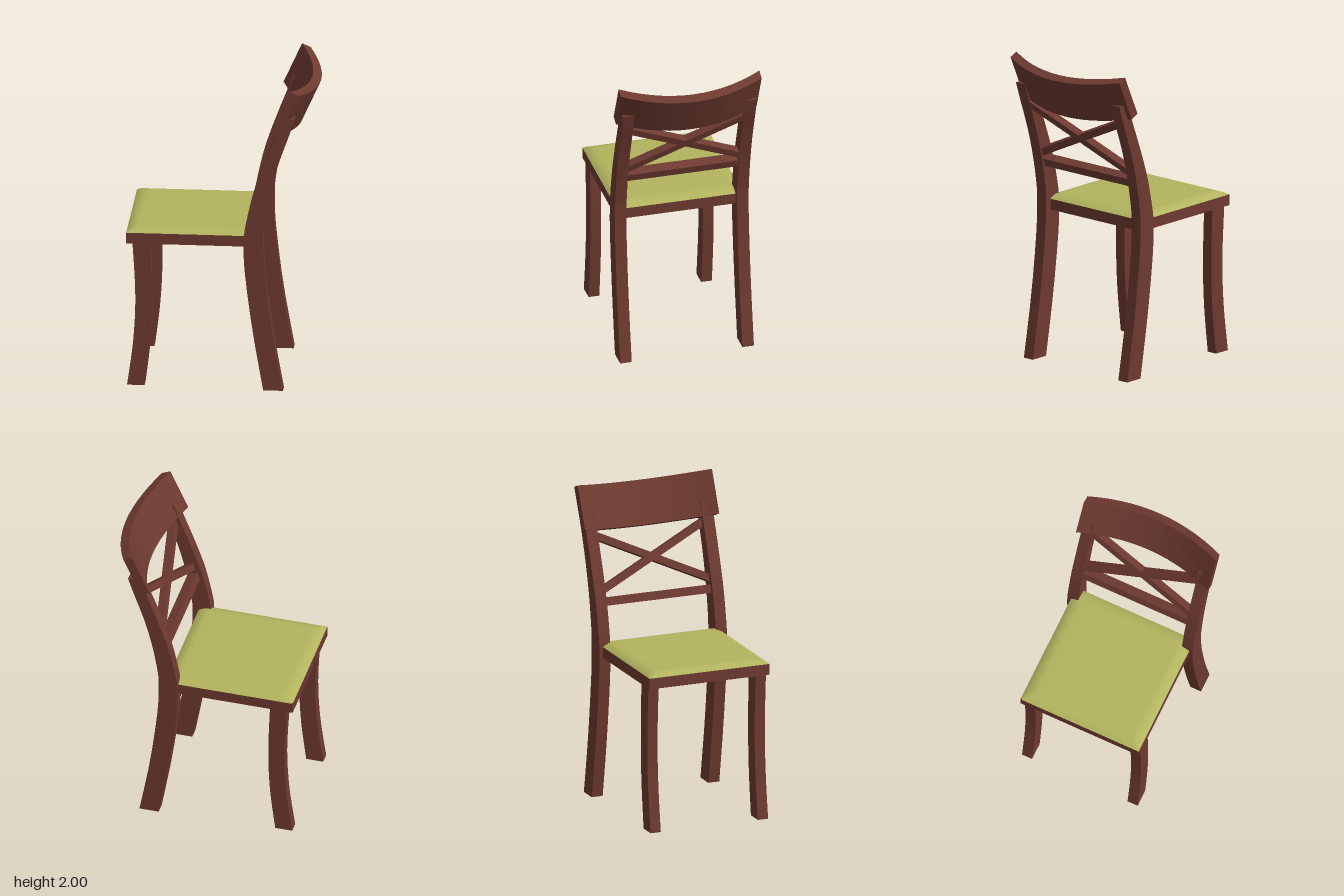
import * as THREE from 'three';

const wood = new THREE.MeshStandardMaterial({ color: 0x6e3a30 });
const fabric = new THREE.MeshStandardMaterial({ color: 0xb2b45e });

function add(parent, name, geometry, material = wood) {
  const mesh = new THREE.Mesh(geometry, material);
  mesh.name = name;
  parent.add(mesh);
  return mesh;
}

// Curved leg cut from a plank: rows are [y, front x, rear x], extruded in z
function legGeometry(rows, thickness) {
  const edge = (i) =>
    new THREE.SplineCurve(rows.map((r) => new THREE.Vector2(r[i], r[0]))).getPoints(20);
  const shape = new THREE.Shape([...edge(2), ...edge(1).reverse()]);
  return new THREE.ExtrudeGeometry(shape, { depth: thickness, bevelEnabled: false })
    .translate(0, 0, -thickness / 2);
}

// Soft pad: a plane whose height depends on the distance to its nearest edge
function cushionGeometry(length, width, height, border) {
  const insets = [0, 0.012, 0.028, 0.05, border];
  const n = insets.length * 2 - 1;
  const coord = (i, size) =>
    i < insets.length ? insets[i] - size / 2 : size / 2 - insets[n - i];
  const geo = new THREE.PlaneGeometry(1, 1, n, n);
  const pos = geo.attributes.position;
  for (let k = 0; k < pos.count; k++) {
    const x = coord(k % (n + 1), length);
    const z = coord(Math.floor(k / (n + 1)), width);
    const inset = Math.min(length / 2 - Math.abs(x), width / 2 - Math.abs(z), border);
    const t = 1 - inset / border;
    pos.setXYZ(k, x, height * (1 - t * t), z);
  }
  geo.computeVertexNormals();
  return geo;
}

// Bowed board: arc outline in plan, extruded upward
function bowedBoardGeometry(halfWidth, bow, thickness, height) {
  const front = [], back = [];
  const steps = 14;
  for (let i = 0; i <= steps; i++) {
    const t = (i / steps) * 2 - 1;
    const x = bow * (1 - t * t);
    front.push(new THREE.Vector2(x, t * halfWidth));
    back.push(new THREE.Vector2(x + thickness, t * halfWidth));
  }
  const shape = new THREE.Shape([...back, ...front.reverse()]);
  return new THREE.ExtrudeGeometry(shape, { depth: height, bevelEnabled: false })
    .rotateX(-Math.PI / 2);
}

export function createModel() {
  const chair = new THREE.Group();
  chair.name = 'chair';

  // Seat board and cushion
  add(chair, 'seatBoard', new THREE.BoxGeometry(0.825, 0.07, 0.82))
    .position.set(-0.1875, 0.98, 0);
  add(chair, 'seatCushion', cushionGeometry(0.825, 0.82, 0.028, 0.08), fabric)
    .position.set(-0.1875, 1.015, 0);

  // Front legs and full-height back posts, mirrored in z
  const frontLeg = legGeometry([
    [0, -0.595, -0.484], [0.3, -0.556, -0.45], [0.6, -0.543, -0.439], [0.95, -0.561, -0.45],
  ], 0.07);
  const backPost = legGeometry([
    [0, 0.265, 0.39], [0.4, 0.197, 0.32], [0.8, 0.147, 0.272], [1, 0.143, 0.265],
    [1.1, 0.155, 0.27], [1.3, 0.2, 0.305], [1.5, 0.268, 0.358], [1.7, 0.345, 0.428],
    [1.81, 0.385, 0.464],
  ], 0.075);
  for (const side of [1, -1]) {
    add(chair, 'frontLeg', frontLeg).position.z = side * 0.366;
    add(chair, 'backPost', backPost).position.z = side * 0.3975;
  }

  // Lower rail and crossed braces, leaning back with the posts
  const lattice = new THREE.Group();
  lattice.name = 'backLattice';
  lattice.position.set(0.254, 1.275, 0);
  lattice.rotation.z = -0.33;
  chair.add(lattice);
  add(lattice, 'lowerRail', new THREE.BoxGeometry(0.065, 0.053, 0.75));
  for (const side of [1, -1]) {
    const brace = add(lattice, 'crossBrace', new THREE.BoxGeometry(0.05, 0.046, 0.83));
    brace.position.y = 0.245;
    brace.rotation.x = side * Math.atan2(0.35, 0.73);
  }

  // Bowed top board
  const board = add(chair, 'topBoard', bowedBoardGeometry(0.458, 0.115, 0.06, 0.285));
  board.position.set(0.318, 1.74, 0);
  board.rotation.z = -0.423;

  return chair;
}
